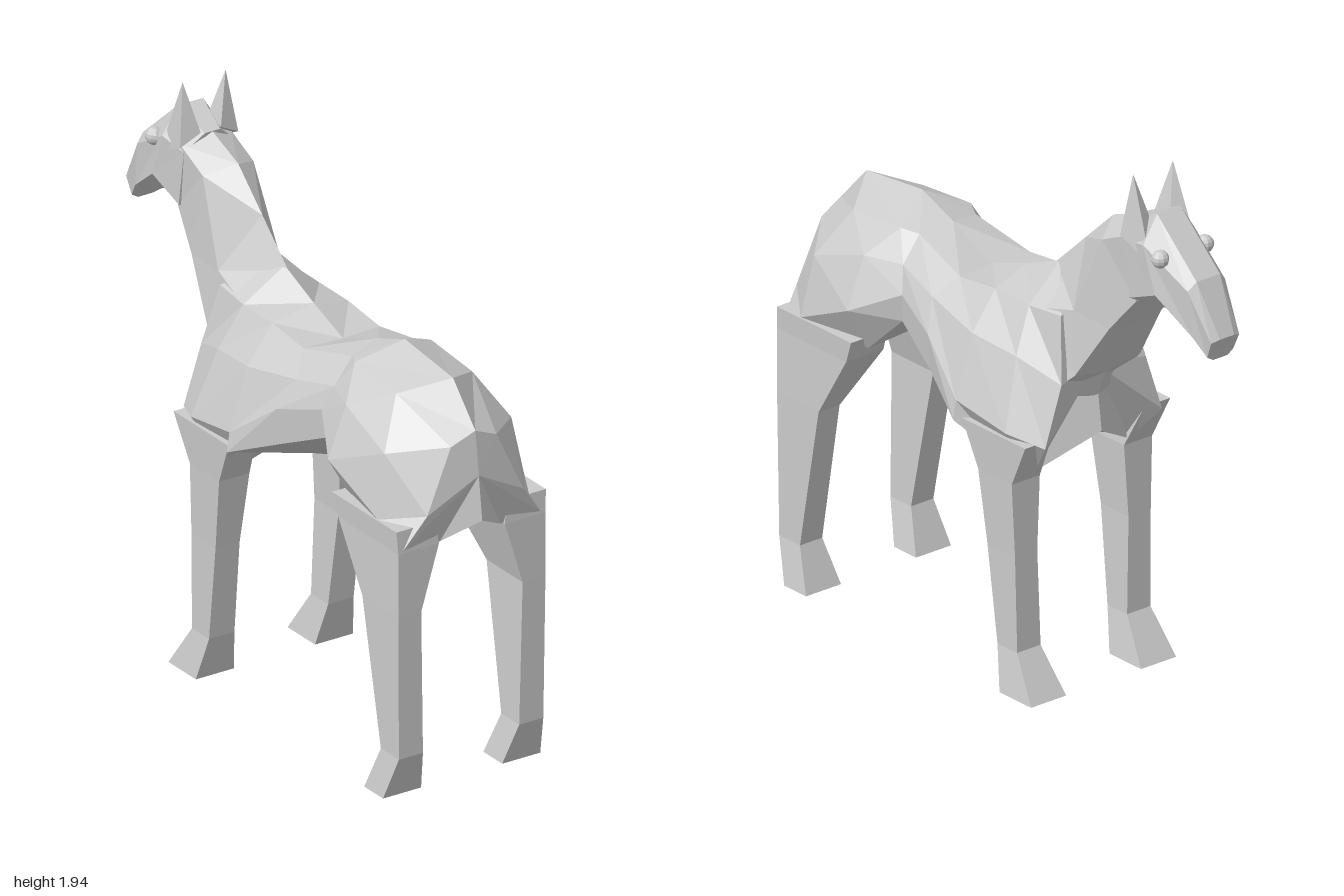
import * as THREE from 'three';
import { ConvexGeometry } from 'three/addons/geometries/ConvexGeometry.js';

const material = new THREE.MeshStandardMaterial({ color: 0xcccccc, flatShading: true });

// Skin closed rings of equal length, cap both ends, face outwards.
function loft(rings) {
  const tris = [];
  const n = rings[0].length;
  for (let r = 0; r + 1 < rings.length; r++) {
    for (let i = 0; i < n; i++) {
      const j = (i + 1) % n;
      const [a, b, c, d] = [rings[r][i], rings[r][j], rings[r + 1][j], rings[r + 1][i]];
      // Alternate diagonals by side so that the halves match
      if (i < n / 2) tris.push([a, b, c], [a, c, d]);
      else tris.push([a, b, d], [b, c, d]);
    }
  }
  [rings[0], rings[rings.length - 1]].forEach((ring, end) => {
    const centre = new THREE.Vector3();
    for (const k of [0, n / 2 - 1, n / 2, n - 1]) centre.addScaledVector(ring[k], 0.25);
    for (let i = 0; i < n; i++) {
      const a = ring[i], b = ring[(i + 1) % n];
      tris.push(end ? [a, b, centre] : [b, a, centre]);
    }
  });
  const solid = tris.filter(([a, b, c]) => new THREE.Triangle(a, b, c).getArea() > 1e-6);
  const volume = solid.reduce((v, [a, b, c]) => v + a.dot(b.clone().cross(c)), 0);
  const points = solid.flatMap(([a, b, c]) => (volume < 0 ? [a, c, b] : [a, b, c]));
  const geometry = new THREE.BufferGeometry().setFromPoints(points);
  geometry.computeVertexNormals();
  return geometry;
}

const vec = (p) => new THREE.Vector3(...p);

// Half section from top to bottom on +x, completed by its mirror image.
const mirrored = (half) => [
  ...half.map(vec),
  ...half.slice().reverse().map(([x, y, z]) => new THREE.Vector3(-x, y, z)),
];

function addMesh(parent, name, geometry) {
  const mesh = new THREE.Mesh(geometry, material);
  mesh.name = name;
  parent.add(mesh);
  return mesh;
}

export function createModel() {
  const model = new THREE.Group();
  model.name = 'horse';

  // Torso sections, rump to chest: spine, upper side, flank, lower side, under side, belly
  const torso = [
    [[0, 1.28, 0.96], [0.09, 1.24, 0.95], [0.19, 1.02, 0.96], [0.27, 0.91, 0.94], [0.12, 0.9, 0.93], [0, 0.97, 1]],
    [[0, 1.42, 0.83], [0.15, 1.36, 0.72], [0.25, 1.2, 0.8], [0.29, 0.98, 0.82], [0.14, 0.9, 0.78], [0, 0.96, 0.8]],
    [[0, 1.45, 0.55], [0.15, 1.38, 0.48], [0.24, 1.28, 0.56], [0.31, 1.1, 0.56], [0.22, 0.94, 0.56], [0, 0.98, 0.58]],
    [[0, 1.39, 0.39], [0.12, 1.37, 0.42], [0.19, 1.28, 0.42], [0.22, 1.19, 0.39], [0.21, 1.09, 0.4], [0, 1.0, 0.49]],
    [[0, 1.31, 0.19], [0.15, 1.31, 0.18], [0.22, 1.24, 0.24], [0.27, 1.13, 0.2], [0.26, 1.0, 0.2], [0, 0.89, 0.2]],
    [[0, 1.37, 0.02], [0.15, 1.33, 0], [0.25, 1.2, 0], [0.32, 0.98, 0], [0.33, 0.91, 0], [0, 0.82, 0]],
    [[0, 1.44, -0.15], [0.15, 1.33, -0.17], [0.23, 1.18, -0.2], [0.31, 0.94, -0.24], [0.2, 0.76, -0.14], [0, 0.82, -0.14]],
    [[0, 1.36, -0.3], [0.14, 1.34, -0.32], [0.18, 1.12, -0.37], [0.25, 0.91, -0.37], [0.2, 0.78, -0.26], [0, 0.9, -0.36]],
  ];
  addMesh(model, 'torso', loft(torso.map(mirrored)));

  // Neck sections: mane line, side crease, throat edge, throat
  const neck = [
    [[0, 1.43, -0.13], [0.15, 1.32, -0.16], [0.18, 1.05, -0.28], [0, 1.02, -0.34]],
    [[0, 1.57, -0.28], [0.12, 1.37, -0.36], [0.14, 1.15, -0.39], [0, 1.12, -0.38]],
    [[0, 1.7, -0.42], [0.1, 1.66, -0.48], [0.11, 1.36, -0.53], [0, 1.34, -0.53]],
    [[0, 1.77, -0.6], [0.1, 1.72, -0.61], [0.09, 1.49, -0.64], [0, 1.48, -0.63]],
  ];
  addMesh(model, 'neck', loft(neck.map(mirrored)));

  // Head sections from poll to muzzle: crown, cheek top, cheek bottom, jaw
  const head = [
    [[0.03, 1.76, -0.57], [0.1, 1.7, -0.59], [0.1, 1.5, -0.62], [0.05, 1.48, -0.62]],
    [[0.05, 1.815, -0.7], [0.11, 1.72, -0.7], [0.11, 1.56, -0.76], [0.05, 1.495, -0.76]],
    [[0.05, 1.64, -0.9], [0.08, 1.61, -0.89], [0.075, 1.45, -0.91], [0.04, 1.42, -0.9]],
    [[0.03, 1.46, -0.995], [0.06, 1.45, -0.985], [0.055, 1.39, -0.96], [0.03, 1.375, -0.96]],
  ];
  addMesh(model, 'head', loft(head.map(mirrored)));

  // Leg sections: height, inner x, outer x, front z, back z
  const legs = {
    frontLeg: [
      [0.92, 0.2, 0.31, -0.34, -0.02], [0.76, 0.18, 0.3, -0.26, -0.09],
      [0.5, 0.195, 0.29, -0.265, -0.125], [0.155, 0.185, 0.285, -0.27, -0.17], [0, 0.16, 0.31, -0.37, -0.21],
    ],
    hindLeg: [
      [0.98, 0.14, 0.295, 0.56, 0.935], [0.9, 0.13, 0.29, 0.59, 0.94], [0.67, 0.2, 0.29, 0.73, 0.94],
      [0.155, 0.19, 0.285, 0.83, 0.935], [0, 0.16, 0.31, 0.77, 0.88],
    ],
  };

  for (const [side, s] of [['left', 1], ['right', -1]]) {
    for (const [name, sections] of Object.entries(legs)) {
      const rings = sections.map(([y, xi, xo, zf, zb]) =>
        [[s * xi, y, zf], [s * xo, y, zf], [s * xo, y, zb], [s * xi, y, zb]].map(vec));
      addMesh(model, `${side} ${name}`, loft(rings));
    }

    // Pointed ear
    const ear = [[0.085, 1.94, -0.62], [0.115, 1.72, -0.59], [0.04, 1.76, -0.58], [0.1, 1.65, -0.73], [0.04, 1.77, -0.66]];
    addMesh(model, `${side} ear`, new ConvexGeometry(ear.map(([x, y, z]) => new THREE.Vector3(s * x, y, z))));

    // Round eye
    const eye = addMesh(model, `${side} eye`, new THREE.SphereGeometry(0.031, 10, 8));
    eye.position.set(s * 0.095, 1.69, -0.77);
  }

  return model;
}
